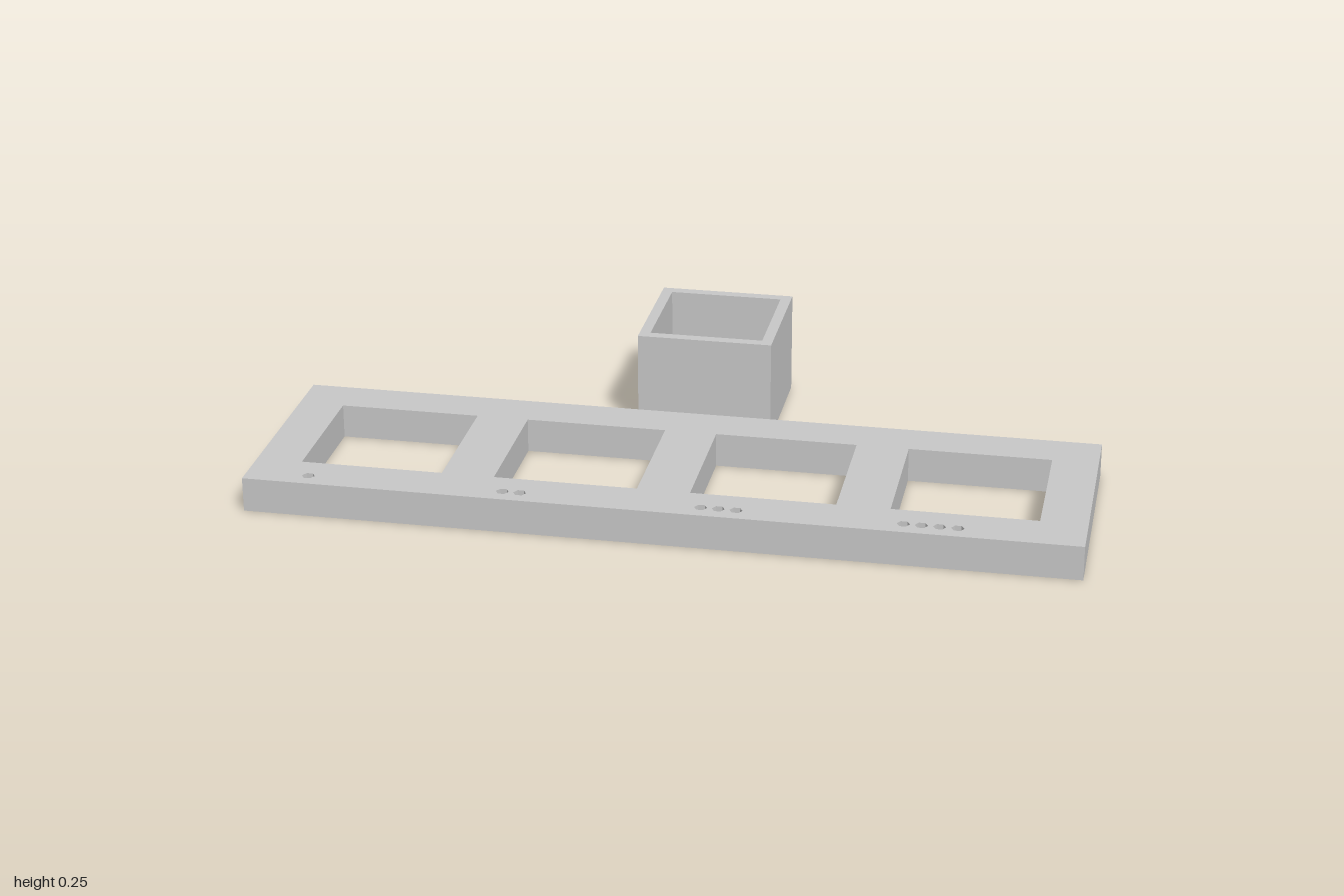
import * as THREE from 'three';
import { mergeGeometries } from 'three/addons/utils/BufferGeometryUtils.js';

const PLATE_H = 0.085, PLATE_Z = 0.2035, TUBE_H = 0.255, TUBE_Z = -0.322;
const PITCH = 0.476, DOT_DEPTH = 0.021;

// Counter-clockwise loops in plan, where plan y is -z
const rect = (cx, cy, w, h) => [[-1, -1], [1, -1], [1, 1], [-1, 1]]
  .map(([sx, sy]) => new THREE.Vector2(cx + sx * w / 2, cy + sy * h / 2));

const hexagon = (cx, cy, r) => Array.from({ length: 6 }, (_, i) => {
  const a = i * Math.PI / 3;
  return new THREE.Vector2(cx + r * Math.cos(a), cy + r * Math.sin(a));
});

// Horizontal face at a given height, with openings
function cap(outline, holes, height, facingUp) {
  const shape = new THREE.Shape(outline);
  shape.holes = holes.map(h => new THREE.Path(h));
  const g = new THREE.ShapeGeometry(shape).translate(0, 0, height);
  if (!facingUp) g.index.array.reverse();
  return g;
}

// Vertical walls along a loop; a reversed loop faces inwards
function walls(loop, low, high) {
  const pos = [];
  loop.forEach((a, i) => {
    const b = loop[(i + 1) % loop.length];
    pos.push(a.x, a.y, low, b.x, b.y, low, b.x, b.y, high,
      a.x, a.y, low, b.x, b.y, high, a.x, a.y, high);
  });
  const g = new THREE.BufferGeometry();
  g.setAttribute('position', new THREE.Float32BufferAttribute(pos, 3));
  return g;
}

// Closed slab with through openings and shallow blind recesses
function slab(outline, openings, recesses, height, depth = 0) {
  const inner = loop => [...loop].reverse();
  const parts = [
    cap(outline, [...openings, ...recesses], height, true),
    cap(outline, openings, 0, false),
    walls(outline, 0, height),
    ...openings.map(o => walls(inner(o), 0, height)),
    ...recesses.map(r => walls(inner(r), height - depth, height)),
    ...recesses.map(r => cap(r, [], height - depth, true)),
  ].map(g => {
    const flat = g.index ? g.toNonIndexed() : g;
    flat.deleteAttribute('uv');
    flat.computeVertexNormals();
    return flat;
  });
  return mergeGeometries(parts).rotateX(-Math.PI / 2);
}

export function createModel() {
  const group = new THREE.Group();
  const grey = new THREE.MeshStandardMaterial({ color: 0xc7c7c7 });
  grey.name = 'lightGrey';

  // Plate: four square windows, numbered by one to four hexagonal dimples
  const windows = [], dots = [];
  for (let i = 0; i < 4; i++) {
    const x = (i - 1.5) * PITCH;
    windows.push(rect(x, 0.002, 0.348, 0.345));
    for (let j = 0; j <= i; j++) dots.push(hexagon(x - 0.135 + j * 0.042, -0.245, 0.0155));
  }
  const plate = new THREE.Mesh(slab(rect(0, 0, 2, 0.577), windows, dots, PLATE_H, DOT_DEPTH), grey);
  plate.name = 'windowPlate';
  plate.position.z = PLATE_Z;

  // Open square tube standing behind the plate
  const tube = new THREE.Mesh(
    slab(rect(0, 0, 0.338, 0.338), [rect(0, 0, 0.284, 0.284)], [], TUBE_H), grey);
  tube.name = 'squareTube';
  tube.position.z = TUBE_Z;

  group.add(plate, tube);
  return group;
}
